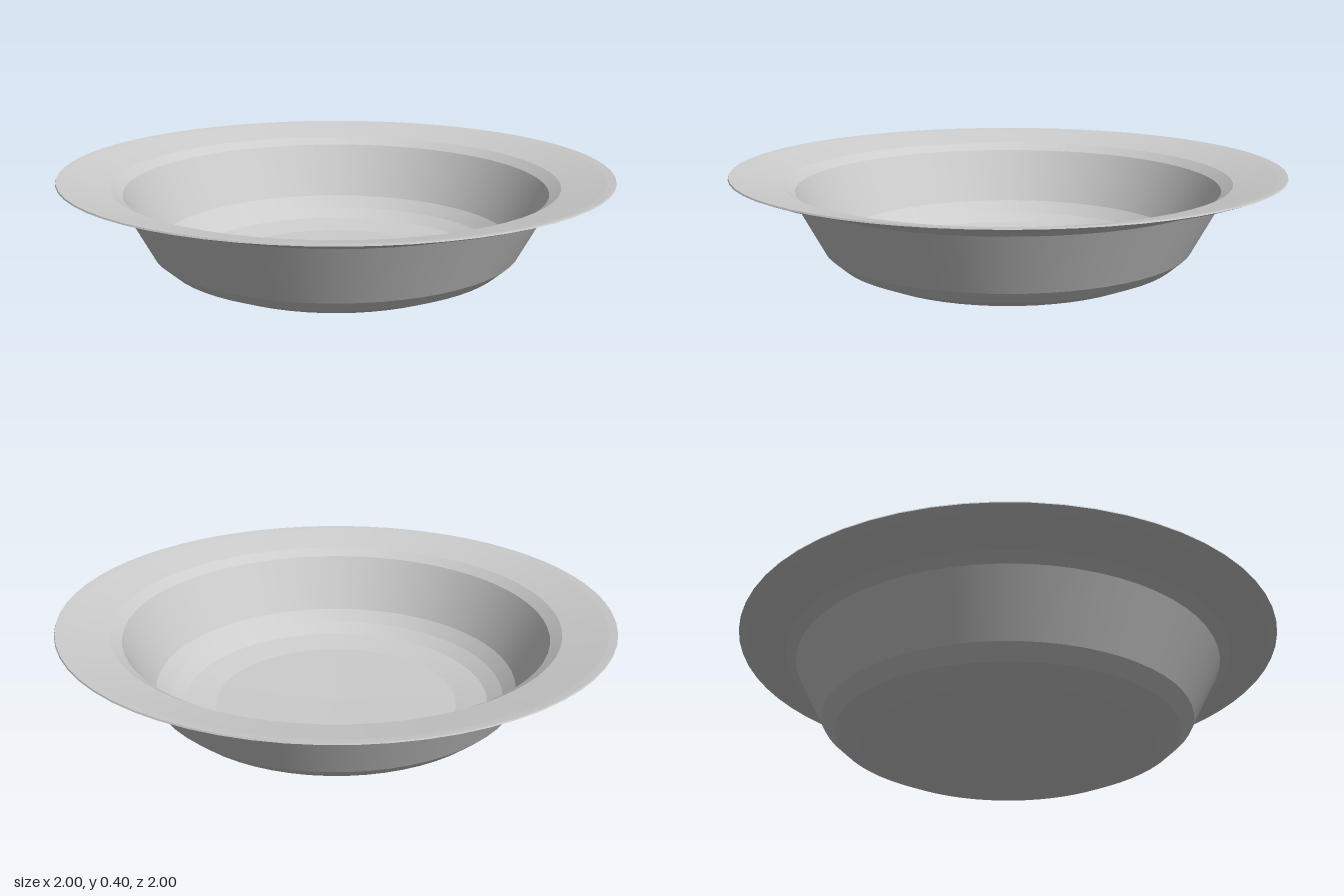
import * as THREE from 'three';
import { mergeGeometries } from 'three/addons/utils/BufferGeometryUtils.js';

// Revolve each profile segment separately: smooth around, crisp between bands
function bandedLathe(profile, segments = 64) {
  const bands = [];
  for (let i = 0; i < profile.length - 1; i++) {
    const pair = [profile[i], profile[i + 1]].map(([r, y]) => new THREE.Vector2(r, y));
    bands.push(new THREE.LatheGeometry(pair, segments));
  }
  return mergeGeometries(bands);
}

export function createModel() {
  const model = new THREE.Group();
  model.name = 'bowl';

  const glaze = new THREE.MeshStandardMaterial({ color: 0xcccccc });
  glaze.name = 'light grey';

  const add = (name, profile) => {
    const mesh = new THREE.Mesh(bandedLathe(profile), glaze);
    mesh.name = name;
    model.add(mesh);
  };

  // Underside, from the base centre out to the lip
  add('outerShell', [
    [0, 0], [0.46, 0.01], [0.54, 0.025], [0.63, 0.065], [0.68, 0.11],
    [0.79, 0.32], [0.83, 0.343], [0.97, 0.38], [1, 0.392],
  ]);

  // Thin edge of the lip
  add('rimEdge', [[1, 0.392], [0.998, 0.397], [0.97, 0.392]]);

  // Upper side, from the lip down to the floor centre
  add('innerShell', [
    [0.97, 0.392], [0.815, 0.355], [0.775, 0.328], [0.67, 0.12],
    [0.625, 0.077], [0.57, 0.045], [0.455, 0.022], [0, 0.015],
  ]);

  return model;
}
